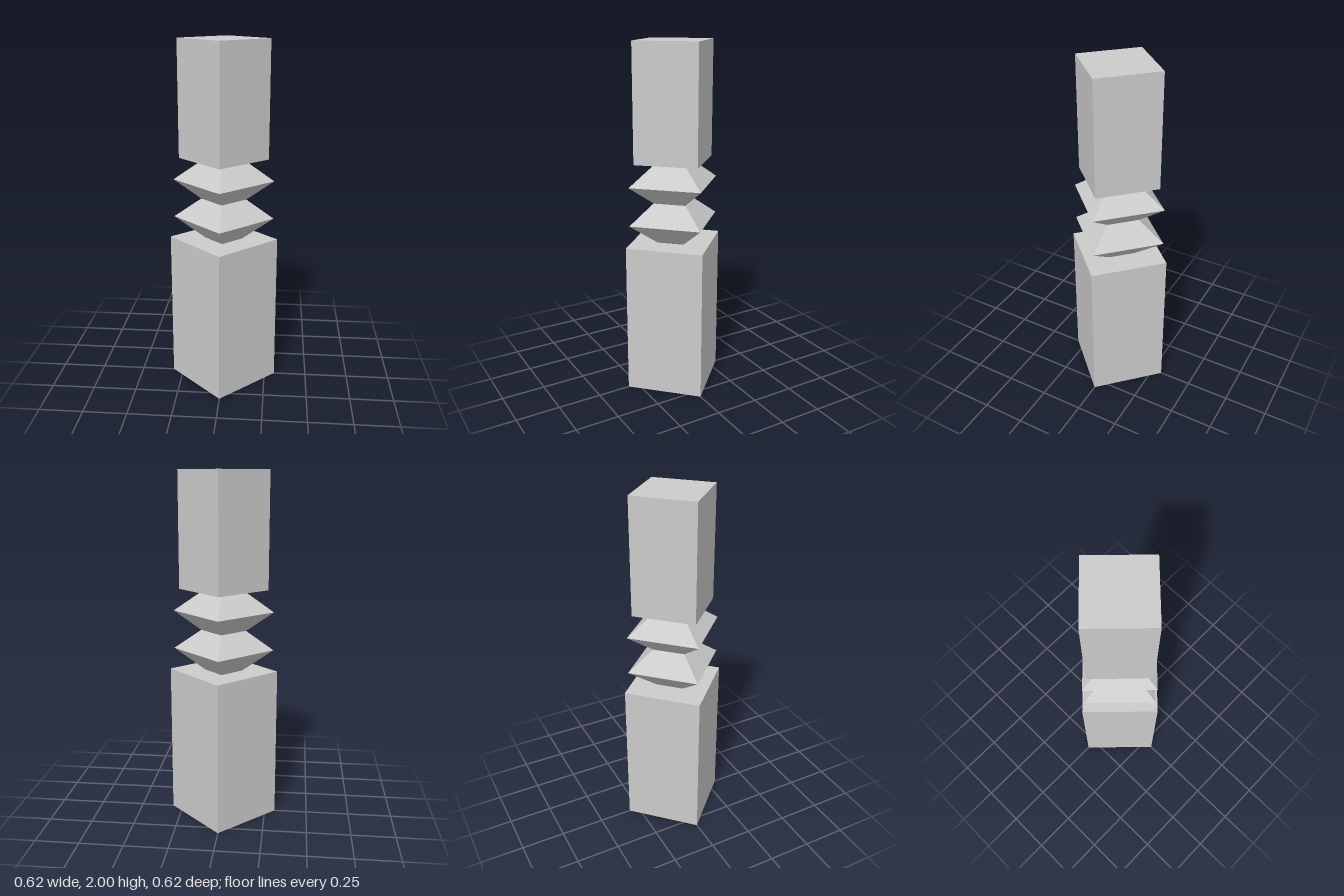
import * as THREE from 'three';

export function createModel() {
  const group = new THREE.Group();
  const material = new THREE.MeshStandardMaterial({ color: 0xcccccc, flatShading: true });

  const add = (name, geometry, y) => {
    const mesh = new THREE.Mesh(geometry, material);
    mesh.name = name;
    mesh.position.y = y;
    group.add(mesh);
  };

  // Four-sided block with its corners on the x and z axes
  const block = (name, radius, bottom, top) =>
    add(name, new THREE.CylinderGeometry(radius, radius, top - bottom, 4), (bottom + top) / 2);

  block('lowerBlock', 0.31, 0, 0.875);
  block('upperBlock', 0.253, 1.345, 2);

  // Two overlapping squat octahedra, their tips sunk into the blocks and each other
  [['lowerDiamond', 1.0], ['upperDiamond', 1.22]].forEach(([name, y]) =>
    add(name, new THREE.OctahedronGeometry(1).scale(0.286, 0.2, 0.286), y));

  return group;
}
